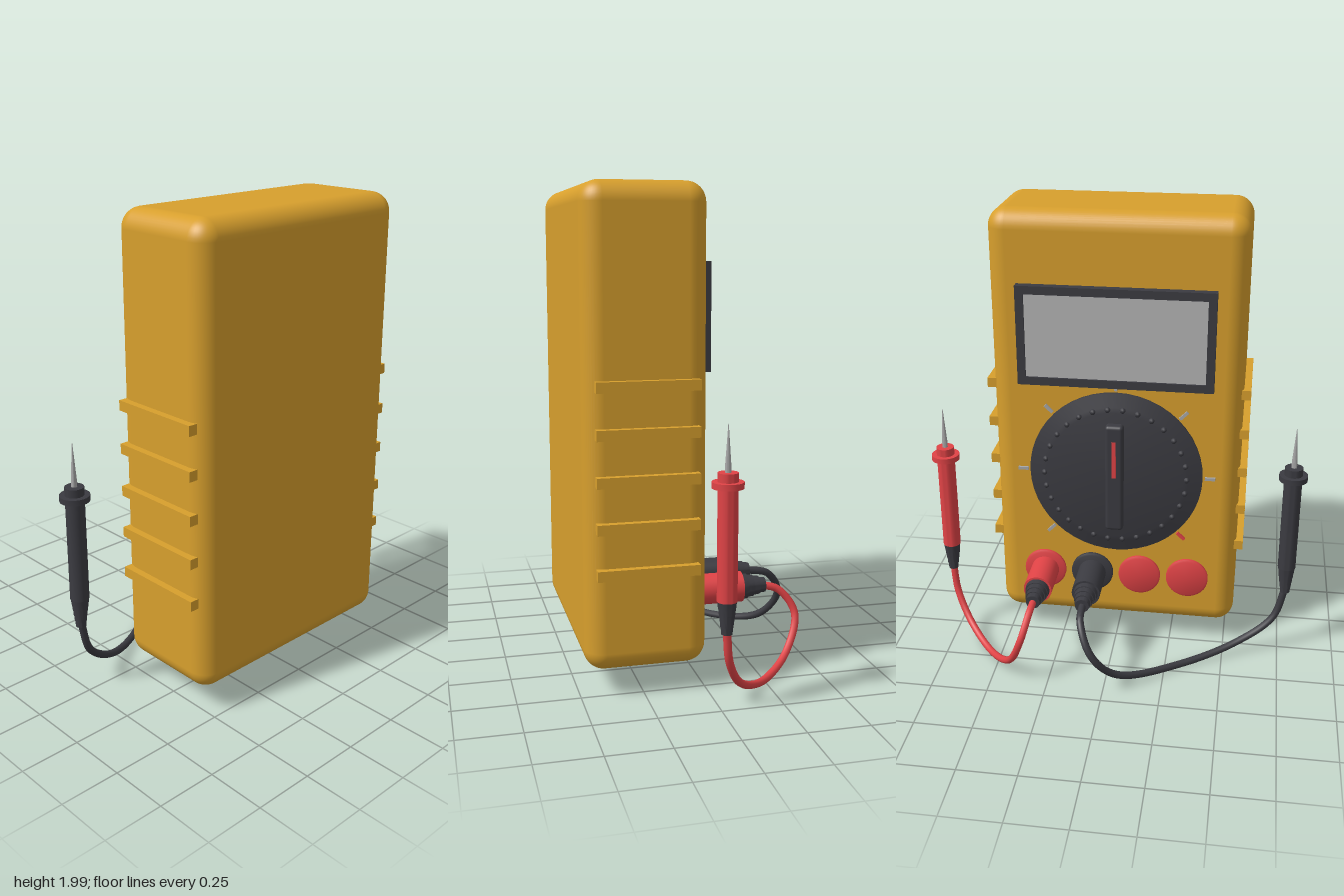
import * as THREE from 'three';
import { toCreasedNormals } from 'three/addons/utils/BufferGeometryUtils.js';
import { RoundedBoxGeometry } from 'three/addons/geometries/RoundedBoxGeometry.js';

const material = (name, color) => {
  const m = new THREE.MeshStandardMaterial({ color });
  m.name = name;
  return m;
};

export function createModel() {
  const yellow = material('yellow casing', 0xd79f2d);
  const dark = material('dark plastic', 0x3b3b41);
  const red = material('red plastic', 0xe04346);
  const screenGrey = material('screen grey', 0xb4b4b4);
  const metal = material('metal', 0xa8a8a8);

  const model = new THREE.Group();
  model.name = 'multimeter';

  const add = (name, geometry, mat, x = 0, y = 0, z = 0, parent = model) => {
    const mesh = new THREE.Mesh(geometry, mat);
    mesh.name = name;
    mesh.position.set(x, y, z);
    parent.add(mesh);
    return mesh;
  };
  // Turned part from [radius, height] pairs, standing along y
  const turned = (profile, segments = 32) => toCreasedNormals(
    new THREE.LatheGeometry(profile.map(([r, h]) => new THREE.Vector2(r, h)), segments), 0.6);
  // The same, pointing out of the instrument face (-z)
  const facing = (profile, segments) => turned(profile, segments).rotateX(-Math.PI / 2);
  // Stepped strain relief that narrows upward
  const stepped = (r0, r1, length, steps) => {
    const profile = [[0, 0]];
    for (let i = 0; i < steps; i++) {
      const r = r0 + (r1 - r0) * i / (steps - 1);
      profile.push([r, length * i / steps], [r * 0.94, length * (i + 1) / steps]);
    }
    profile.push([0, length]);
    return profile;
  };

  // Casing and side grip ribs
  const face = -0.008;
  add('casing', new RoundedBoxGeometry(1.076, 1.888, 0.49, 5, 0.08), yellow, 0, 1.056, 0.237);
  for (const side of [1, -1]) {
    for (let i = 0; i < 5; i++) {
      add('gripRib', new THREE.BoxGeometry(0.07, 0.042, 0.405), yellow, side * 0.533, 0.515 + i * 0.181, 0.237);
    }
  }

  // Display: frame with an opening, and the panel in it
  const rectangle = (Type, w, h) => new Type([[-w, -h], [w, -h], [w, h], [-w, h]].map(([x, y]) => new THREE.Vector2(x, y)));
  const frame = rectangle(THREE.Shape, 0.415, 0.215);
  frame.holes.push(rectangle(THREE.Path, 0.38, 0.18));
  add('displayFrame', new THREE.ExtrudeGeometry(frame, { depth: 0.045, bevelEnabled: false }), dark, 0, 1.485, -0.045);
  add('displayPanel', new THREE.BoxGeometry(0.77, 0.37, 0.03), screenGrey, 0, 1.485, -0.022);

  // Selector dial with grip studs, pointer and surrounding marks
  const dial = new THREE.Group();
  dial.name = 'selectorDial';
  dial.position.set(0, 0.86, face);
  model.add(dial);
  add('dialDisc', facing([[0.38, -0.01], [0.38, 0.01], [0.32, 0.028], [0.3, 0.034], [0, 0.034]], 48), dark, 0, 0, 0, dial);
  for (let i = 0; i < 30; i++) {
    const a = i / 30 * Math.PI * 2;
    add('dialStud', new THREE.SphereGeometry(0.013, 8, 6), dark, 0.312 * Math.cos(a), 0.312 * Math.sin(a), -0.03, dial);
  }
  add('pointer', new RoundedBoxGeometry(0.078, 0.5, 0.06, 3, 0.015), dark, 0, 0, -0.041, dial);
  add('pointerStripe', new THREE.BoxGeometry(0.018, 0.17, 0.008), red, 0, 0.095, -0.07, dial);
  for (let i = 0; i < 7; i++) {
    const a = (-45 + i * 45) * Math.PI / 180;
    const mark = add('dialMark', new THREE.BoxGeometry(0.045, 0.013, 0.014), i === 6 ? red : metal,
      0.412 * Math.cos(a), 0.412 * Math.sin(a), -0.003, dial);
    mark.rotation.z = a;
  }

  // Four sockets
  const jackY = 0.355;
  [[0.325, red], [0.108, dark], [-0.108, red], [-0.325, red]].forEach(([x, mat]) =>
    add('socket', facing([[0.095, -0.01], [0.095, 0.01], [0.085, 0.015], [0, 0.015]]), mat, x, jackY, face));

  // Test leads: plug, strain reliefs, cable, probe
  const addLead = (name, mat, x, probeX, path) => {
    const lead = new THREE.Group();
    lead.name = name;
    model.add(lead);
    const part = (n, g, m, px, py, pz) => add(n, g, m, px, py, pz, lead);
    part('plug', facing([[0, 0], [0.063, 0], [0.063, 0.19], [0, 0.19]]), mat, x, jackY, -0.015);
    part('plugRelief', facing(stepped(0.054, 0.033, 0.105, 4)), dark, x, jackY, -0.203);
    const curve = new THREE.CatmullRomCurve3(path.map(p => new THREE.Vector3(...p)));
    part('cable', new THREE.TubeGeometry(curve, 64, 0.016, 10), mat, 0, 0, 0);

    const z = -0.012;
    part('probeRelief', turned(stepped(0.037, 0.023, 0.13, 5)).rotateX(Math.PI), dark, probeX, 0.452, z);
    part('probeHandle', turned([[0, 0], [0.039, 0], [0.039, 0.49], [0, 0.49]]), mat, probeX, 0.45, z);
    part('probeCollar', turned([[0, 0], [0.061, 0], [0.061, 0.024], [0, 0.024]]), mat, probeX, 0.882, z);
    part('probeTip', turned([[0.012, 0], [0.012, 0.03], [0.001, 0.185], [0, 0.185]], 12), metal, probeX, 0.935, z);
  };
  addLead('redLead', red, 0.325, 0.765, [
    [0.325, 0.355, -0.29], [0.332, 0.33, -0.37], [0.36, 0.23, -0.434], [0.425, 0.09, -0.375],
    [0.54, 0.026, -0.24], [0.67, 0.08, -0.1], [0.745, 0.2, -0.03], [0.765, 0.335, -0.012]]);
  addLead('blackLead', dark, 0.108, -0.767, [
    [0.108, 0.355, -0.29], [0.1, 0.33, -0.4], [0.045, 0.215, -0.468], [-0.06, 0.085, -0.41],
    [-0.32, 0.026, -0.215], [-0.57, 0.075, -0.075], [-0.72, 0.185, -0.025], [-0.767, 0.335, -0.012]]);

  return model;
}
